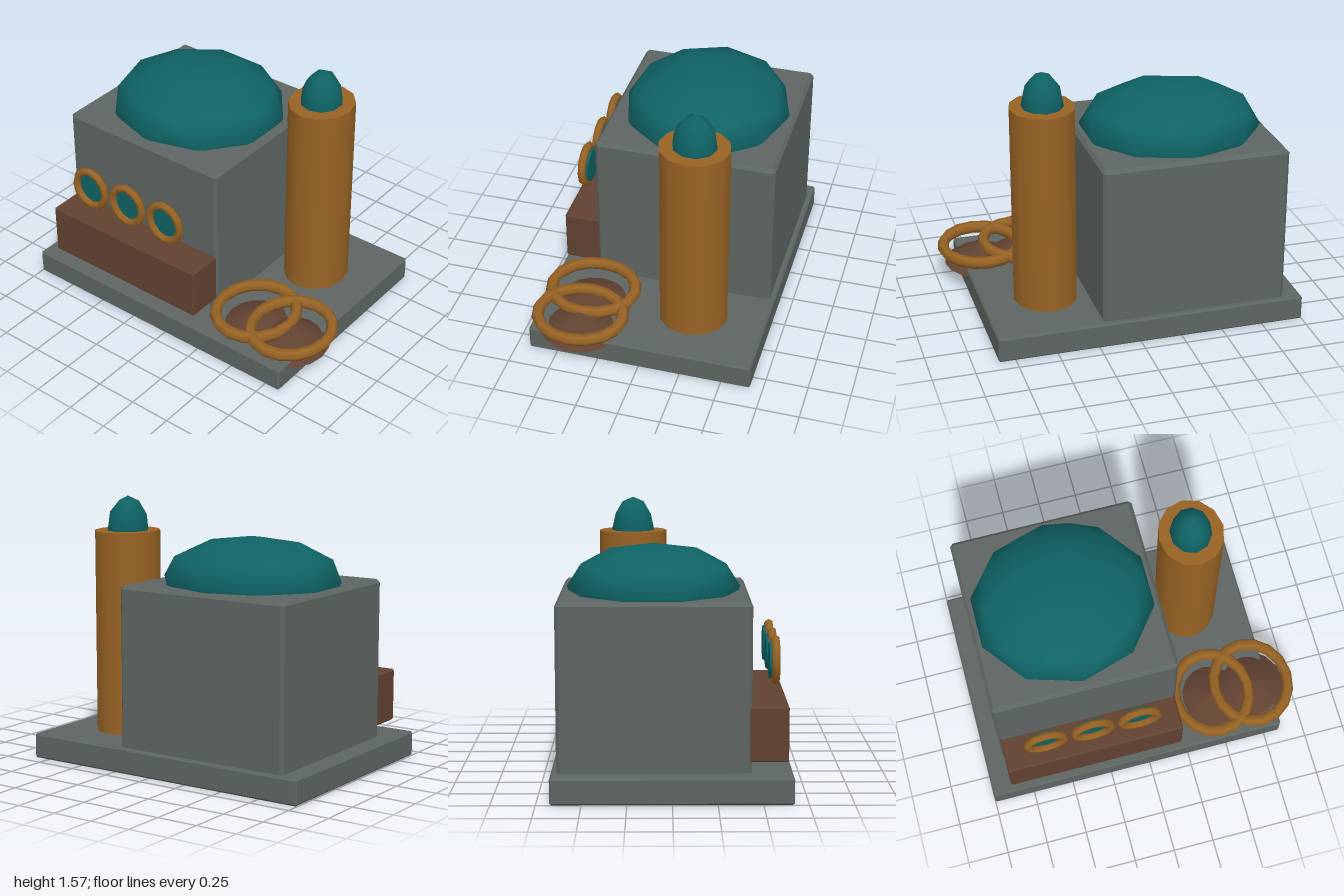
import * as THREE from 'three';
import { ConvexGeometry } from 'three/addons/geometries/ConvexGeometry.js';

const SQUASH = 0.91; // round parts are slightly narrower in x

function material(name, color) {
  const m = new THREE.MeshStandardMaterial({ color });
  m.name = name;
  return m;
}

// Box with chamfered edges, given by its limits
function chamferBox([x0, x1], [y0, y1], [z0, z1], c) {
  const half = [(x1 - x0) / 2, (y1 - y0) / 2, (z1 - z0) / 2];
  const points = [];
  for (const sx of [-1, 1]) for (const sy of [-1, 1]) for (const sz of [-1, 1]) {
    for (let face = 0; face < 3; face++) {
      const p = half.map((h, i) => (i === face ? h : h - c));
      points.push(new THREE.Vector3(sx * p[0], sy * p[1], sz * p[2]));
    }
  }
  return new ConvexGeometry(points).translate((x0 + x1) / 2, (y0 + y1) / 2, (z0 + z1) / 2);
}

// Smooth faceted ellipsoid with a vertex at the top and a ten-sided waist
function dome(rx, ry, rz) {
  return new THREE.IcosahedronGeometry(1, 1)
    .rotateZ(-Math.atan(2 / (1 + Math.sqrt(5))))
    .scale(rx, ry, rz);
}

export function createModel() {
  const model = new THREE.Group();
  model.name = 'domedBuilding';
  const stone = material('grey stone', 0x5d6561);
  const teal = material('teal', 0x0f6365);
  const brass = material('brass', 0x986324);
  const brown = material('brown', 0x614231);

  function add(name, geometry, mat, x = 0, y = 0, z = 0, parent = model) {
    const mesh = new THREE.Mesh(geometry, mat);
    mesh.name = name;
    mesh.position.set(x, y, z);
    parent.add(mesh);
    return mesh;
  }

  // Plinth, hall and front counter
  add('base', chamferBox([-1, 0.85], [0, 0.15], [-0.675, 0.67], 0.01), stone);
  add('hall', chamferBox([-0.89, 0.22], [0.13, 1.1], [-0.643, 0.44], 0.02), stone);
  add('counter', chamferBox([-0.88, 0.21], [0.21, 0.525], [0.41, 0.645], 0.01), brown);
  add('roofDome', dome(0.54, 0.25, 0.5), teal, -0.335, 1.12, -0.105);

  // Tower with its cap
  add('tower', new THREE.CylinderGeometry(0.208, 0.208, 1.235, 12).scale(SQUASH + 0.01, 1, 1),
    brass, 0.468, 0.7475, -0.235);
  add('towerCap', dome(0.122, 0.2, 0.13), teal, 0.465, 1.37, -0.235);

  // Row of three round windows
  for (let i = 0; i < 3; i++) {
    const porthole = new THREE.Group();
    porthole.name = 'porthole';
    porthole.position.set(-0.62 + i * 0.285, 0.74, 0.58);
    add('portholeRing', new THREE.TorusGeometry(0.117, 0.025, 6, 12).scale(0.96, 1, 1), brass, 0, 0, 0, porthole);
    add('portholeGlass', new THREE.CylinderGeometry(0.104, 0.104, 0.025, 12).rotateX(Math.PI / 2).scale(0.96, 1, 1),
      teal, 0, 0, -0.023, porthole);
    model.add(porthole);
  }

  // Two overlapping hoops, each above a low mound
  const moundProfile = [[0, 0.12], [0.245, 0.12], [0.245, 0.12], [0.189, 0.155], [0.118, 0.195], [0, 0.24]]
    .map(([r, y]) => new THREE.Vector2(r, y));
  for (const x of [0.475, 0.73]) {
    add('hoop', new THREE.TorusGeometry(0.255, 0.037, 6, 16).rotateX(Math.PI / 2).scale(SQUASH, 1, 1),
      brass, x, 0.225, 0.385);
    add('mound', new THREE.LatheGeometry(moundProfile, 16).scale(SQUASH, 1, 1), brown, x, 0, 0.385);
  }
  return model;
}
